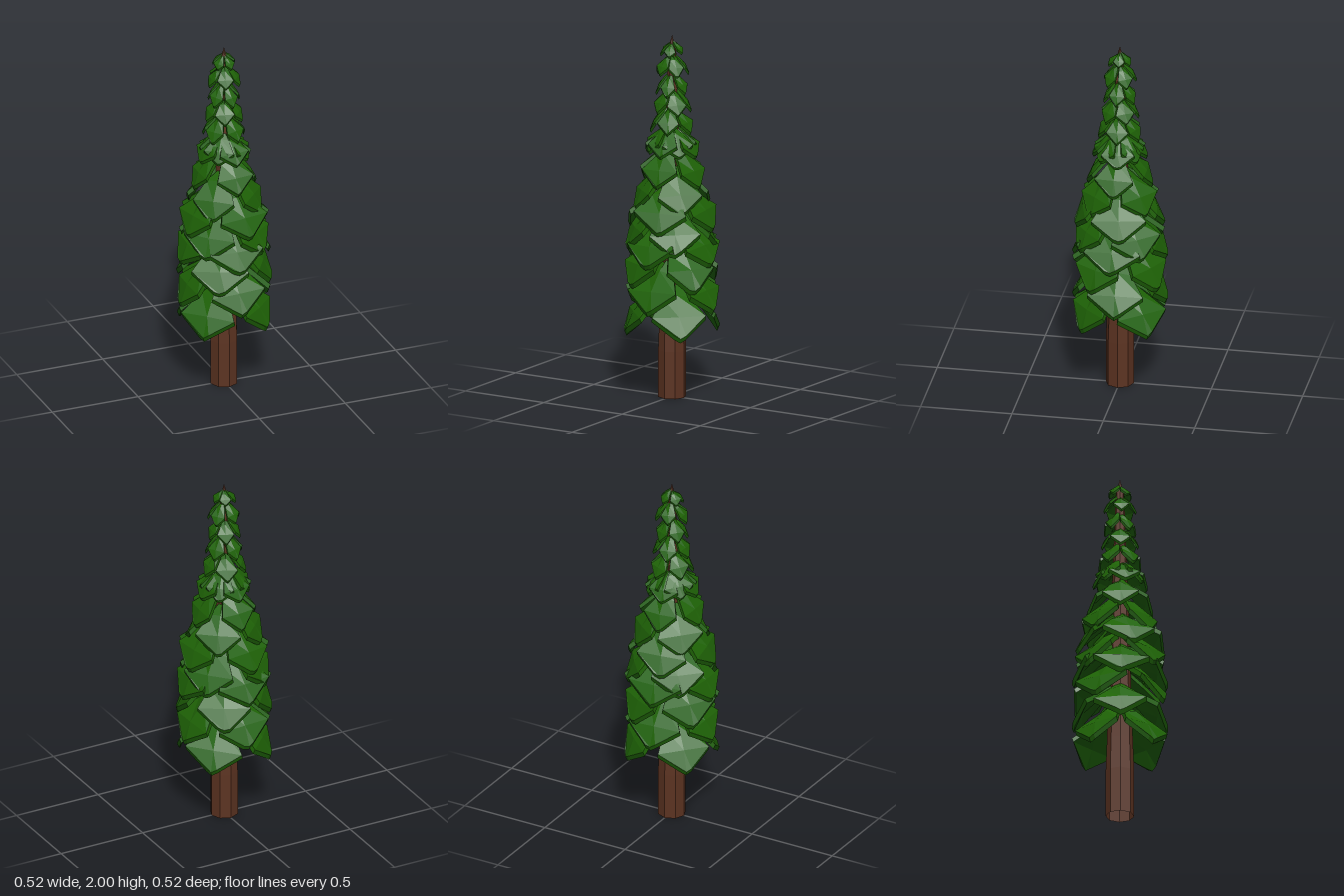
import * as THREE from 'three';

const bark = new THREE.MeshStandardMaterial({ color: 0x5c3321, side: THREE.DoubleSide });
bark.name = 'bark brown';
const needles = new THREE.MeshStandardMaterial({ color: 0x1e6206 });
needles.name = 'needle green';

// Small seeded generator, returns -1..1
let seed = 7;
const jitter = () => {
  seed = (seed * 16807) % 2147483647;
  return (seed / 2147483647) * 2 - 1;
};

function faceted(geometry) {
  const g = geometry.index ? geometry.toNonIndexed() : geometry;
  g.computeVertexNormals();
  return g;
}

// Drooping, ridged slab: z is outward, y up, tip at y = 0, root at y = height
function boughGeometry(radius, height, width, thick) {
  // each row: ridge radius, ridge height, edge x, edge radius, edge height
  const rows = [
    [0.12, 1.0, 0.1, 0.1, 0.95],
    [0.48, 0.76, 0.52, 0.42, 0.7],
    [0.82, 0.39, 1.0, 0.79, 0.38],
    [1.0, 0.0, 0.2, 0.99, 0.05],
  ];
  const top = rows.map(([r, h, ex, ez, eh]) => {
    const k = width * (1 + 0.06 * jitter());
    const edge = (s) => new THREE.Vector3(s * ex * radius * k, (eh + 0.03 * jitter()) * height, ez * radius);
    return [edge(-1), new THREE.Vector3(0, h * height, r * radius), edge(1)];
  });
  const drop = new THREE.Vector3(0, -thick, -thick * 0.45);
  const under = (p) => p.clone().add(drop);
  const pos = [];
  const quad = (a, b, c, d) => [a, b, c, a, c, d].forEach((p) => pos.push(p.x, p.y, p.z));

  // upper and lower skins
  for (let i = 0; i < 3; i++) {
    for (let j = 0; j < 2; j++) {
      const a = top[i][j], b = top[i + 1][j], c = top[i + 1][j + 1], d = top[i][j + 1];
      quad(a, b, c, d);
      quad(under(d), under(c), under(b), under(a));
    }
  }
  // rim
  const loop = [
    ...top.map((row) => row[0]), top[3][1],
    ...top.map((row) => row[2]).reverse(), top[0][1],
  ];
  loop.forEach((p, i) => {
    const q = loop[(i + 1) % loop.length];
    quad(under(p), under(q), q, p);
  });
  const g = new THREE.BufferGeometry();
  g.setAttribute('position', new THREE.Float32BufferAttribute(pos, 3));
  return faceted(g);
}

export function createModel() {
  seed = 7;
  const tree = new THREE.Group();
  tree.name = 'pineTree';

  // Tapering eight-sided trunk, open at the foot
  const trunk = new THREE.Group();
  trunk.name = 'trunk';
  const profile = [[0.077, 0], [0.077, 0.26], [0.07, 0.45], [0.045, 1.3], [0.022, 1.92], [0, 2]];
  for (let i = 0; i < profile.length - 1; i++) {
    const [r0, y0] = profile[i];
    const [r1, y1] = profile[i + 1];
    const section = new THREE.Mesh(
      faceted(new THREE.CylinderGeometry(r1, r0, y1 - y0, 8, 1, true)), bark);
    section.name = 'trunkSection';
    section.position.y = (y0 + y1) / 2;
    trunk.add(section);
  }
  tree.add(trunk);

  // Tiers of boughs: tip height, radius, rise to the root, bough count, turn in degrees
  const tiers = [
    [0.37, 0.26, 0.28, 4, 45],
    [0.51, 0.26, 0.27, 4, 0],
    [0.64, 0.26, 0.27, 4, 58],
    [0.77, 0.26, 0.25, 4, 0],
    [0.84, 0.25, 0.25, 4, 40],
    [0.95, 0.245, 0.25, 4, 10],
    [1.06, 0.21, 0.24, 4, 50],
    [1.19, 0.18, 0.21, 4, 0],
    [1.35, 0.15, 0.15, 4, 8],
    [1.36, 0.14, 0.15, 4, 52],
    [1.47, 0.12, 0.14, 5, 18],
    [1.58, 0.105, 0.13, 5, 50],
    [1.68, 0.09, 0.12, 5, 15],
    [1.79, 0.092, 0.11, 5, 54],
    [1.9, 0.065, 0.065, 5, 18],
  ];
  tiers.forEach(([tipY, radius, rise, count, turn], t) => {
    const tier = new THREE.Group();
    tier.name = `boughTier${t + 1}`;
    tier.position.y = tipY;
    const width = count === 4 ? 0.58 : 0.48;
    for (let i = 0; i < count; i++) {
      const bough = new THREE.Mesh(boughGeometry(radius, rise, width, 0.006 + 0.075 * radius), needles);
      bough.name = 'bough';
      bough.position.y = 0.008 * jitter();
      bough.rotation.y = THREE.MathUtils.degToRad(turn + (360 / count) * i + 4 * jitter());
      tier.add(bough);
    }
    tree.add(tier);
  });
  return tree;
}
